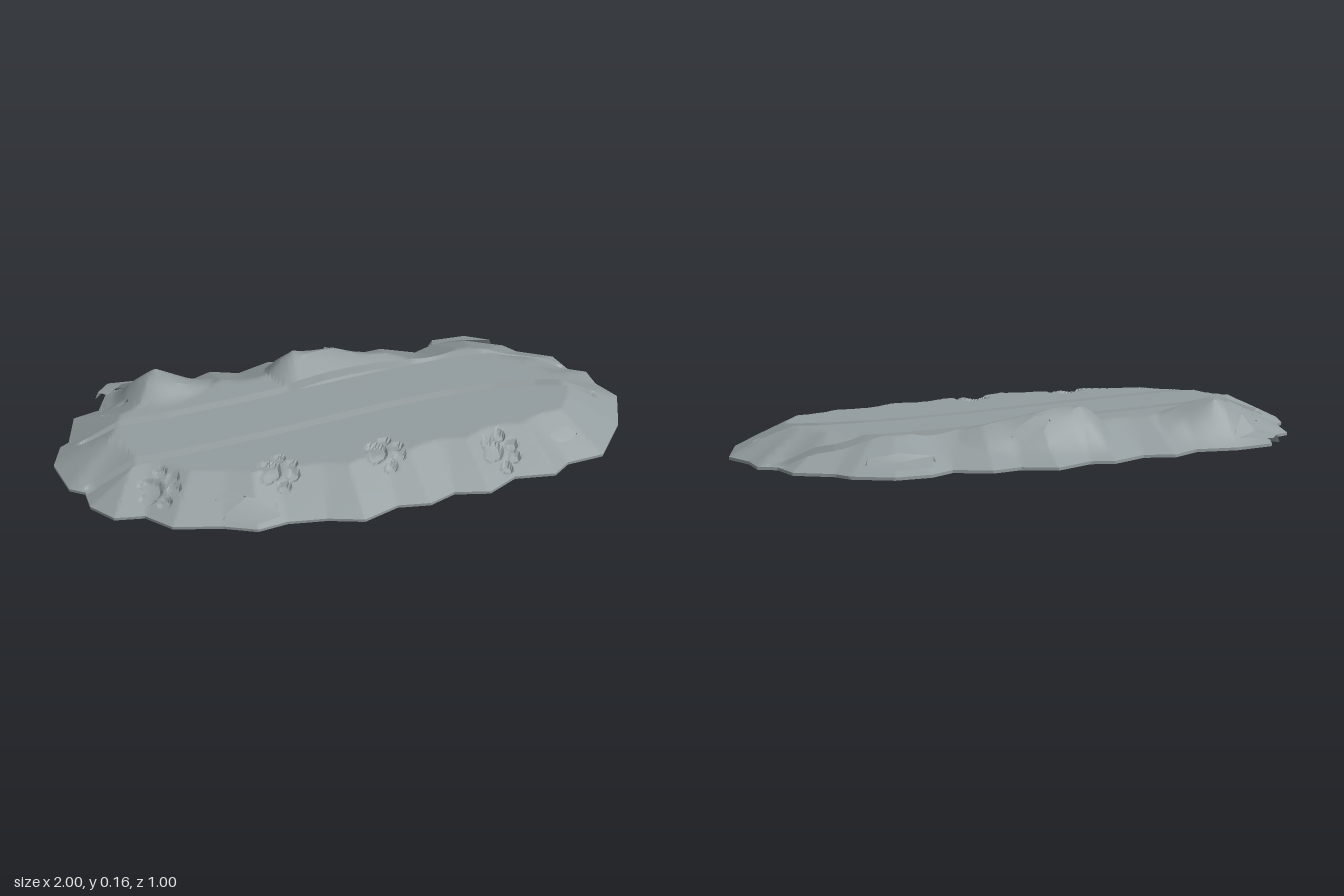
import * as THREE from 'three';
import { toCreasedNormals } from 'three/addons/utils/BufferGeometryUtils.js';

// Ragged outline of the ground, back and front halves, as [x, z] from left to right
const BACK = [[-1, 0], [-0.97, -0.1], [-0.94, -0.12], [-0.91, -0.26], [-0.82, -0.29], [-0.78, -0.4], [-0.64, -0.42],
  [-0.5, -0.4], [-0.4, -0.45], [-0.3, -0.42], [-0.18, -0.47], [-0.1, -0.45], [0.03, -0.5], [0.14, -0.455],
  [0.24, -0.47], [0.36, -0.42], [0.44, -0.46], [0.56, -0.46], [0.69, -0.4], [0.73, -0.35], [0.85, -0.29],
  [0.88, -0.2], [0.94, -0.17], [0.95, -0.09], [1, 0]];
const FRONT = [[-1, 0], [-0.96, 0.14], [-0.91, 0.17], [-0.9, 0.25], [-0.83, 0.325], [-0.73, 0.335], [-0.65, 0.41],
  [-0.49, 0.44], [-0.38, 0.48], [-0.28, 0.46], [-0.15, 0.47], [-0.03, 0.5], [0.09, 0.45], [0.2, 0.46],
  [0.29, 0.42], [0.41, 0.44], [0.51, 0.38], [0.65, 0.39], [0.71, 0.34], [0.84, 0.32], [0.95, 0.16], [1, 0]];
// Centre line of the rear wheel rut; the front one is the same, shifted in z
const RUT = [[-1, -0.06], [-0.9, -0.06], [-0.6, -0.085], [-0.3, -0.13], [0, -0.185], [0.2, -0.22], [0.4, -0.245],
  [0.55, -0.25], [0.7, -0.24], [0.9, -0.195], [1, -0.17]];
const RUT_GAP = 0.225;
const PAWS = [[-0.69, 0.26], [-0.3, 0.29], [0.065, 0.265], [0.46, 0.29]];
const TOES = [[0.03, -0.052], [0.066, -0.016], [0.066, 0.024], [0.03, 0.06]];

const { clamp, smoothstep } = THREE.MathUtils;

function lerpPath(path, x) {
  let i = 0;
  while (i < path.length - 2 && x > path[i + 1][0]) i++;
  const [a, b] = [path[i], path[i + 1]];
  return a[1] + (b[1] - a[1]) * clamp((x - a[0]) / (b[0] - a[0]), 0, 1);
}

// Distance from a point to the outline
function edgeDistance(x, z) {
  if (z <= lerpPath(BACK, x) || z >= lerpPath(FRONT, x)) return 0;
  let best = 1;
  for (const path of [BACK, FRONT]) {
    for (let i = 0; i < path.length - 1; i++) {
      const [ax, az] = path[i];
      const dx = path[i + 1][0] - ax, dz = path[i + 1][1] - az;
      const t = clamp(((x - ax) * dx + (z - az) * dz) / (dx * dx + dz * dz), 0, 1);
      best = Math.min(best, Math.hypot(x - ax - t * dx, z - az - t * dz));
    }
  }
  return best;
}

// Plateau with sloping banks and two peaks at the back
function ground(x, z) {
  const d = edgeDistance(x, z);
  const hill = (cx, cz, left, right, depth, h) =>
    h * Math.max(0, 1 - Math.hypot((x - cx) / (x < cx ? left : right), (z - cz) / depth));
  const hills = hill(-0.61, -0.3, 0.16, 0.2, 0.15, 0.085) + hill(-0.12, -0.3, 0.1, 0.42, 0.14, 0.075);
  return 0.01 + 0.092 * Math.min(1, d / 0.18) + hills * Math.min(1, d / 0.1);
}

// Depth of the pressed paw prints
function pawDepth(x, z) {
  let s = 0;
  const dent = (cx, cz, rx, rz) => {
    const r = Math.hypot((x - cx) / rx, (z - cz) / rz);
    s = Math.max(s, 1 - smoothstep(r, 0.72, 1.05));
  };
  for (const [px, pz] of PAWS) {
    if (Math.hypot(x - px, z - pz) > 0.13) continue;
    dent(px, pz, 0.032, 0.036);
    dent(px - 0.018, pz - 0.022, 0.024, 0.022);
    dent(px - 0.018, pz + 0.022, 0.024, 0.022);
    for (const [tx, tz] of TOES) dent(px + tx, pz + tz, 0.023, 0.019);
  }
  return s * 0.013;
}

function triangles(list, crease) {
  const g = new THREE.BufferGeometry();
  g.setAttribute('position', new THREE.Float32BufferAttribute(list.flat(), 3));
  return toCreasedNormals(g, crease);
}

const quad = (out, a, b, c, d) => out.push(a, b, c, c, b, d);

// One column of ground points from back to front, with rows following both ruts
function column(x) {
  const zb = lerpPath(BACK, x), zf = lerpPath(FRONT, x), r = lerpPath(RUT, x);
  const depth = 0.02 * (1 - smoothstep(Math.abs(x), 0.88, 0.915));
  const rows = [];
  const span = (a, b, n) => {
    for (let k = 0; k < n; k++) rows.push([a + (b - a) * k / n, 0]);
  };
  const rut = (c) => rows.push([c - 0.018, 0], [c - 0.008, 1], [c + 0.016, 1]);
  span(zb, r - 0.018, 16);
  rut(r);
  span(r + 0.02, r + RUT_GAP - 0.018, 6);
  rut(r + RUT_GAP);
  span(r + RUT_GAP + 0.02, zf, 46);
  rows.push([zf, 0]);
  return rows.map(([v, cut]) => {
    const z = clamp(v, zb, zf);
    return [x, Math.max(0.01, ground(x, z) - cut * depth - pawDepth(x, z)), z];
  });
}

function terrain() {
  const xs = new Set([...BACK, ...FRONT].map((p) => p[0]));
  for (let i = 0; i <= 230; i++) xs.add(-1 + i * 2 / 230);
  const cols = [...xs].sort((a, b) => a - b).map(column);
  const top = [], base = [];
  const floor = (p) => [p[0], 0, p[2]];
  for (let i = 0; i < cols.length - 1; i++) {
    const a = cols[i], b = cols[i + 1], n = a.length - 1;
    for (let j = 0; j < n; j++) quad(top, a[j], a[j + 1], b[j], b[j + 1]);
    quad(base, floor(a[0]), a[0], floor(b[0]), b[0]);
    quad(base, a[n], floor(a[n]), b[n], floor(b[n]));
    quad(base, floor(a[n]), floor(a[0]), floor(b[n]), floor(b[0]));
  }
  return [triangles(top, 0.45), triangles(base, 0.5)];
}

// Faceted slab lying on the slope; its outline runs clockwise seen from above
function slab(outline, lift) {
  const n = outline.length, out = [];
  const cx = outline.reduce((s, p) => s + p[0], 0) / n, cz = outline.reduce((s, p) => s + p[1], 0) / n;
  const low = outline.map(([x, z]) => [x, Math.max(0.004, ground(x, z) - 0.015), z]);
  const high = outline.map(([x, z]) => [cx + (x - cx) * 0.88, ground(x, z) + lift, cz + (z - cz) * 0.88]);
  const mid = (ring) => [cx, ring.reduce((s, p) => s + p[1], 0) / n, cz];
  for (let i = 0; i < n; i++) {
    const j = (i + 1) % n;
    quad(out, low[j], high[j], low[i], high[i]);
    out.push(mid(high), high[j], high[i], mid(low), low[i], low[j]);
  }
  return triangles(out, 0.4);
}

export function createModel() {
  const stone = new THREE.MeshStandardMaterial({ color: 0x939c9e });
  stone.name = 'greyStone';
  const model = new THREE.Group();
  model.name = 'trackGround';
  const add = (geometry, name) => {
    const mesh = new THREE.Mesh(geometry, stone);
    mesh.name = name;
    model.add(mesh);
  };

  const [top, base] = terrain();
  add(top, 'groundWithRutsAndPawPrints');
  add(base, 'groundBase');

  // Large slabs on the rim
  const slabs = [
    [[-0.78, -0.425], [-0.64, -0.41], [-0.64, -0.385], [-0.69, -0.33], [-0.79, -0.33], [-0.825, -0.37]],
    [[0.42, -0.46], [0.56, -0.465], [0.655, -0.41], [0.64, -0.37], [0.53, -0.385], [0.4, -0.39]],
    [[-0.49, 0.42], [-0.4, 0.38], [-0.3, 0.41], [-0.29, 0.46], [-0.38, 0.485], [-0.5, 0.45]],
  ];
  slabs.forEach((outline) => add(slab(outline, 0.022), 'rimSlab'));

  // Small flat pebbles: x, z, half width, half depth, turn
  const pebbles = [[-0.765, -0.22, 0.052, 0.026, 0], [0.07, -0.35, 0.078, 0.03, -0.1],
    [0.715, 0.25, 0.058, 0.03, -0.15], [-0.45, 0.36, 0.055, 0.02, 0.1]];
  for (const [x, z, w, d, turn] of pebbles) {
    const outline = [0.2, 1.1, 2.0, 3.0, 4.1, 5.2].map((t) => {
      const px = Math.cos(t) * w, pz = Math.sin(t) * d;
      return [x + px * Math.cos(turn) - pz * Math.sin(turn), z + px * Math.sin(turn) + pz * Math.cos(turn)];
    });
    add(slab(outline, 0.009), 'pebble');
  }
  return model;
}
